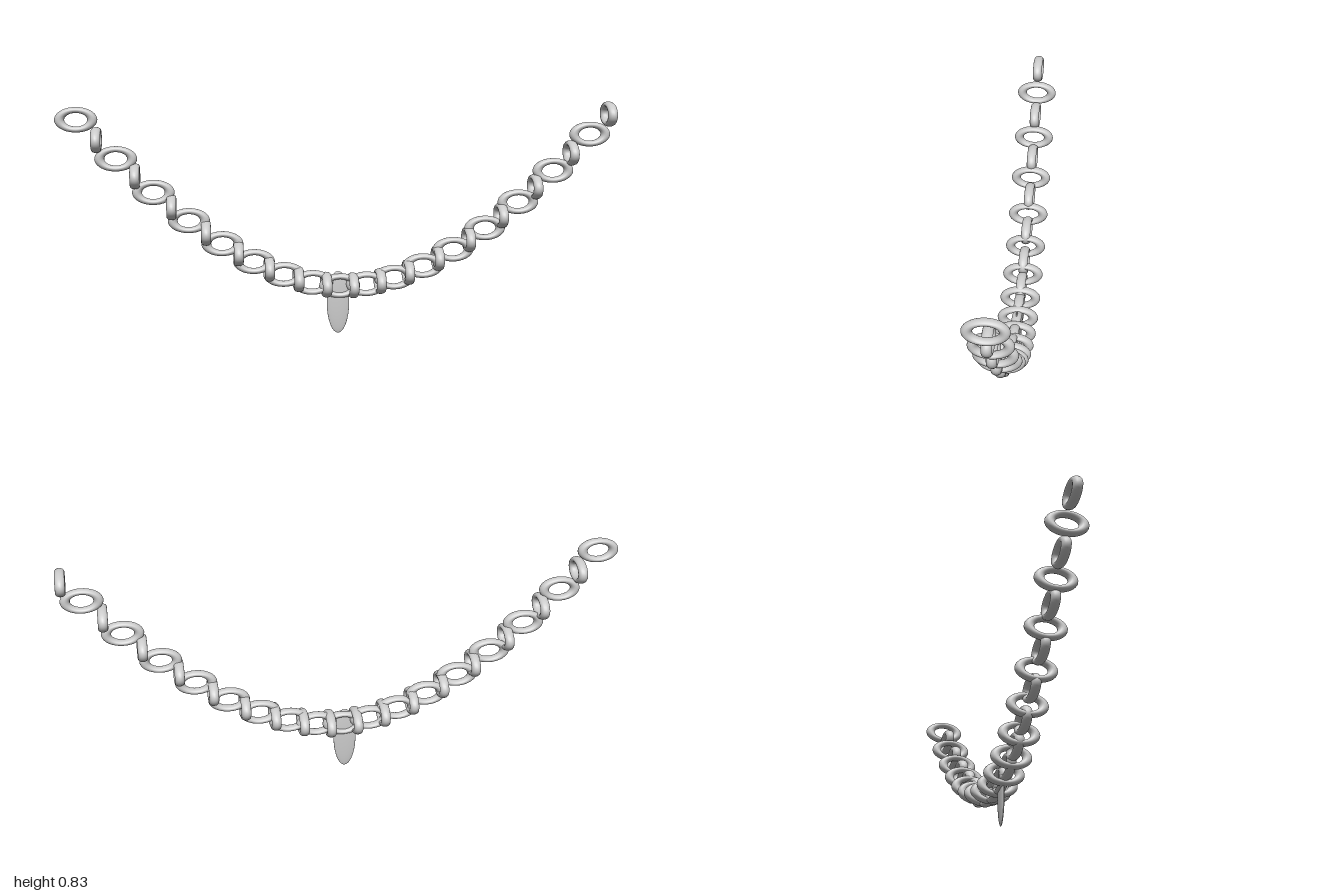
import * as THREE from 'three';

export function createModel() {
  const model = new THREE.Group();
  model.name = 'necklace';
  const material = new THREE.MeshStandardMaterial({ color: 0xcccccc });

  // Chain: flattened rings along a parabola, every second one turned sideways
  const chain = new THREE.Group();
  chain.name = 'chain';
  model.add(chain);
  const linkGeometry = new THREE.TorusGeometry(0.0575, 0.0175, 16, 40);
  const count = 34;
  const middle = 0.0285;
  const halfSpan = 0.954;
  for (let i = 0; i < count; i++) {
    const u = (2 * i) / (count - 1) - 1;
    // Links sit closer together near the bottom of the curve
    const spread = 0.835 + 0.165 * Math.pow(Math.abs(u), 1.2);
    const link = new THREE.Mesh(linkGeometry, material);
    link.name = 'chainLink' + (i + 1);
    link.position.set(middle + halfSpan * u * spread, 0.175 + 0.615 * u * u, 0);
    link.scale.y = 0.6;
    if (i % 2 === 1) link.rotation.y = Math.PI / 2;
    chain.add(link);
  }

  // Pendant: thin upright leaf-shaped ellipsoid
  const pendant = new THREE.Mesh(new THREE.SphereGeometry(1, 32, 24), material);
  pendant.name = 'pendant';
  pendant.scale.set(0.041, 0.115, 0.008);
  pendant.position.set(-0.002, 0.115, 0);
  model.add(pendant);

  return model;
}
